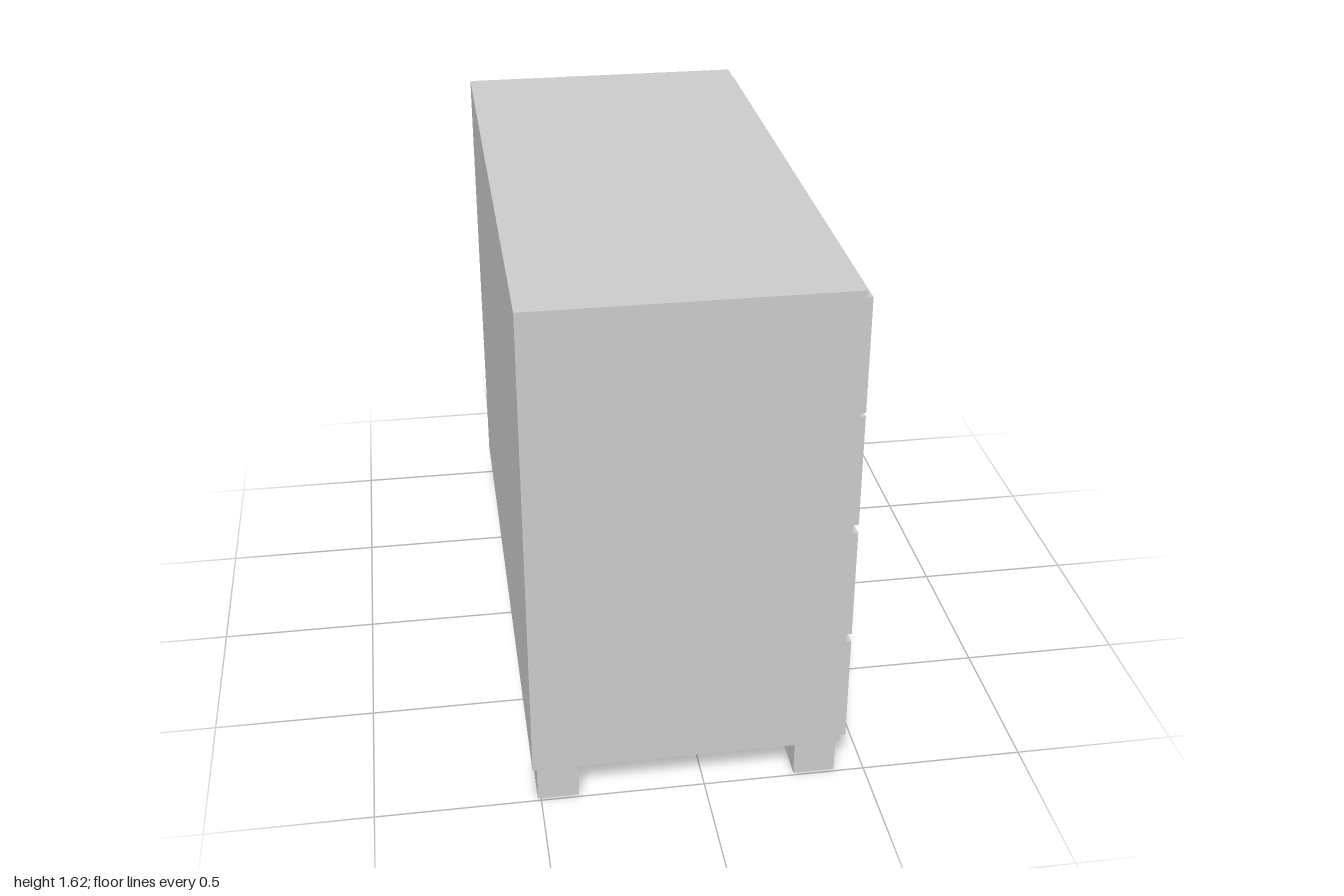
import * as THREE from 'three';

export function createModel() {
  const group = new THREE.Group();
  group.name = 'chestOfDrawers';
  const material = new THREE.MeshStandardMaterial({ color: 0xcccccc });

  function add(name, geometry, x, y, z) {
    const mesh = new THREE.Mesh(geometry, material);
    mesh.name = name;
    mesh.position.set(x, y, z);
    group.add(mesh);
    return mesh;
  }

  // Box given by its extents on each axis
  function box(name, [x0, x1], [y0, y1], [z0, z1]) {
    return add(name, new THREE.BoxGeometry(x1 - x0, y1 - y0, z1 - z0),
      (x0 + x1) / 2, (y0 + y1) / 2, (z0 + z1) / 2);
  }

  // Cabinet body
  box('cabinet', [-0.523, 0.421], [0.116, 1.625], [-1, 1]);

  // Four square feet
  for (const x of [[-0.51, -0.384], [0.281, 0.408]]) {
    for (const z of [[-0.987, -0.861], [0.865, 0.991]]) box('foot', x, [0, 0.116], z);
  }

  // Drawer fronts on the +x side: a split top row and three full-width rows
  const full = [[-0.988, 0.99]];
  const split = [[-0.988, -0.006], [0.012, 0.99]];
  const rows = [
    { y: [1.249, 1.6], knobY: 1.431, fronts: split },
    { y: [0.886, 1.238], knobY: 1.069, fronts: full },
    { y: [0.506, 0.857], knobY: 0.689, fronts: full },
    { y: [0.129, 0.478], knobY: 0.312, fronts: full },
  ];

  // Round knobs on short stems
  const knobGeometry = new THREE.SphereGeometry(0.034, 32, 20);
  const stemGeometry = new THREE.CylinderGeometry(0.015, 0.015, 0.04, 24).rotateZ(-Math.PI / 2);

  for (const { y, knobY, fronts } of rows) {
    for (const z of fronts) box('drawerFront', [0.421, 0.439], y, z);
    for (const z of [-0.508, 0.495]) {
      add('knobStem', stemGeometry, 0.453, knobY, z);
      add('knob', knobGeometry, 0.488, knobY, z);
    }
  }

  return group;
}
